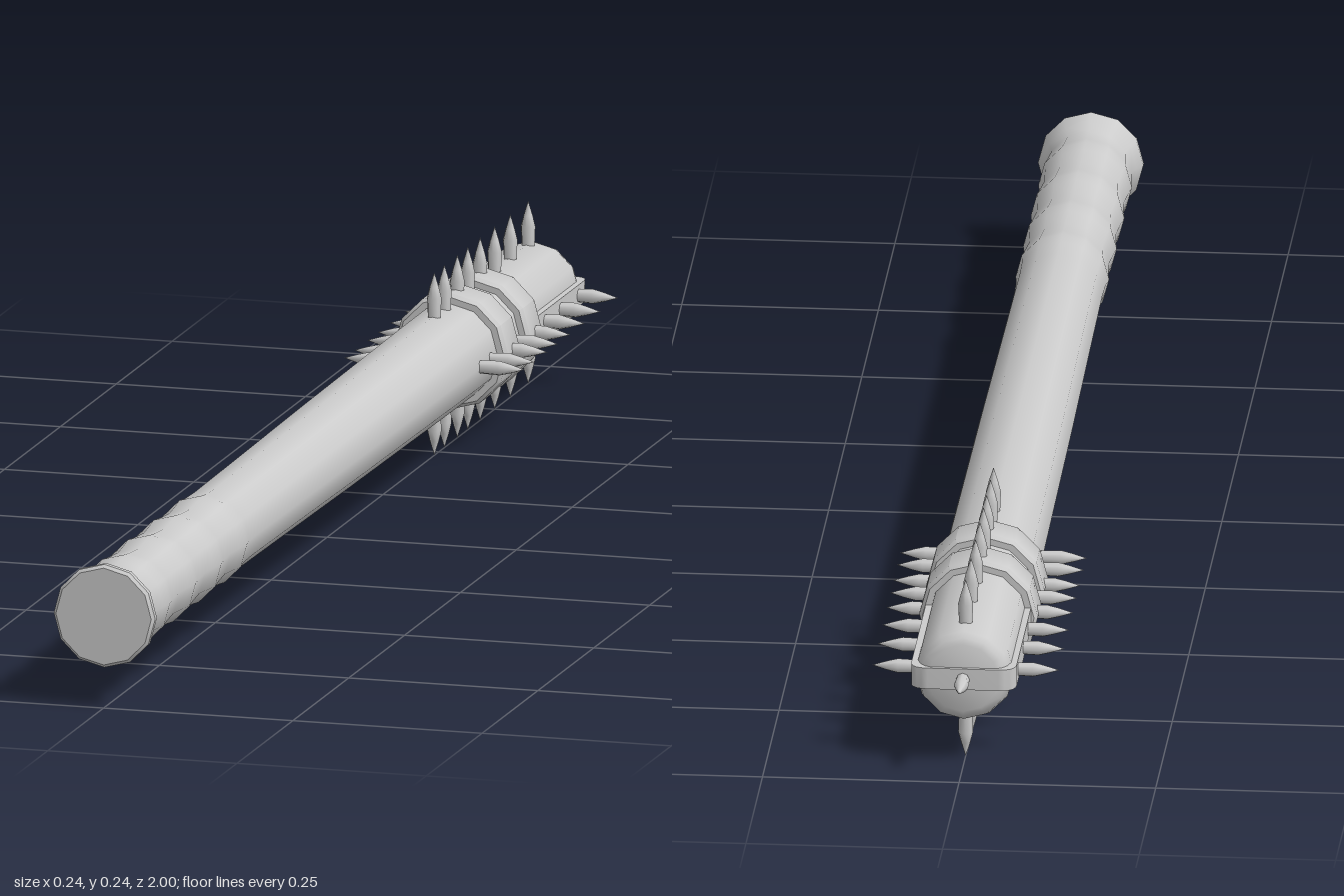
import * as THREE from 'three';
import { toCreasedNormals } from 'three/addons/utils/BufferGeometryUtils.js';

const AXIS_Y = 0.12;

export function createModel() {
  const club = new THREE.Group();
  club.name = 'spikedClub';
  const material = new THREE.MeshStandardMaterial({ color: 0xcccccc });

  const add = (name, geometry, parent = club) => {
    const mesh = new THREE.Mesh(geometry, material);
    mesh.name = name;
    parent.add(mesh);
    return mesh;
  };

  // Turned part along z; profile is [z, radius] from back to front
  const turned = (profile, sides = 12) => {
    const points = profile.map(([z, r]) => new THREE.Vector2(r, z));
    const geometry = new THREE.LatheGeometry(points, sides).rotateX(Math.PI / 2);
    return toCreasedNormals(geometry, 0.75);
  };

  // Shaft with rounded tip, slight taper, ridged grip and flared pommel
  const profile = [[-0.94, 0], [-0.94, 0.045], [-0.936, 0.053], [-0.928, 0.059],
    [-0.915, 0.063], [-0.45, 0.0625], [0, 0.06], [0.3, 0.0575], [0.5, 0.056]];
  for (const ridge of [0.56, 0.675, 0.79, 0.905]) {
    profile.push([ridge - 0.02, 0.057], [ridge, 0.0595], [ridge + 0.02, 0.057], [ridge + 0.055, 0.054]);
  }
  profile.push([0.975, 0.06], [0.988, 0.067], [0.996, 0.067], [1, 0.063], [1, 0]);
  add('shaft', turned(profile)).position.y = AXIS_Y;

  // Two raised bands around the head
  for (const z of [-0.68, -0.58]) {
    const band = add('band', turned([[-0.03, 0.06], [-0.03, 0.071], [-0.025, 0.0755],
      [0.025, 0.0755], [0.03, 0.071], [0.03, 0.06]]));
    band.position.set(0, AXIS_Y, z);
  }

  // Strap running along both sides and over the tip
  const w = 0.067, end = 0.945, c = 0.022, h = 0.028;
  const outline = new THREE.Shape();
  outline.moveTo(-w, 0.69);
  outline.lineTo(w, 0.69);
  outline.lineTo(w, end - c);
  outline.quadraticCurveTo(w, end, w - c, end);
  outline.lineTo(-w + c, end);
  outline.quadraticCurveTo(-w, end, -w, end - c);
  outline.closePath();
  const strap = new THREE.ExtrudeGeometry(outline, { depth: h, bevelEnabled: false, curveSegments: 5 });
  strap.translate(0, 0, -h / 2).rotateX(-Math.PI / 2);
  add('strap', toCreasedNormals(strap, 0.75)).position.y = AXIS_Y;

  // Four rows of spikes, pointing up, down, left and right
  const spikePoints = [[0.008, 0.05], [0.0095, 0.086], [0.006, 0.1], [0, 0.119]]
    .map(([r, y]) => new THREE.Vector2(r, y));
  const spike = new THREE.LatheGeometry(spikePoints, 8);
  for (let row = 0; row < 4; row++) {
    const spikes = new THREE.Group();
    spikes.name = 'spikeRow';
    spikes.position.y = AXIS_Y;
    spikes.rotation.z = row * Math.PI / 2;
    for (const z of [-0.9, -0.82, -0.75, -0.685, -0.63, -0.583, -0.525, -0.48]) {
      add('spike', spike, spikes).position.z = z;
    }
    club.add(spikes);
  }

  // Single spike on the tip
  const tip = add('tipSpike', spike);
  tip.rotation.x = -Math.PI / 2;
  tip.position.set(0, AXIS_Y, -0.881);

  return club;
}
